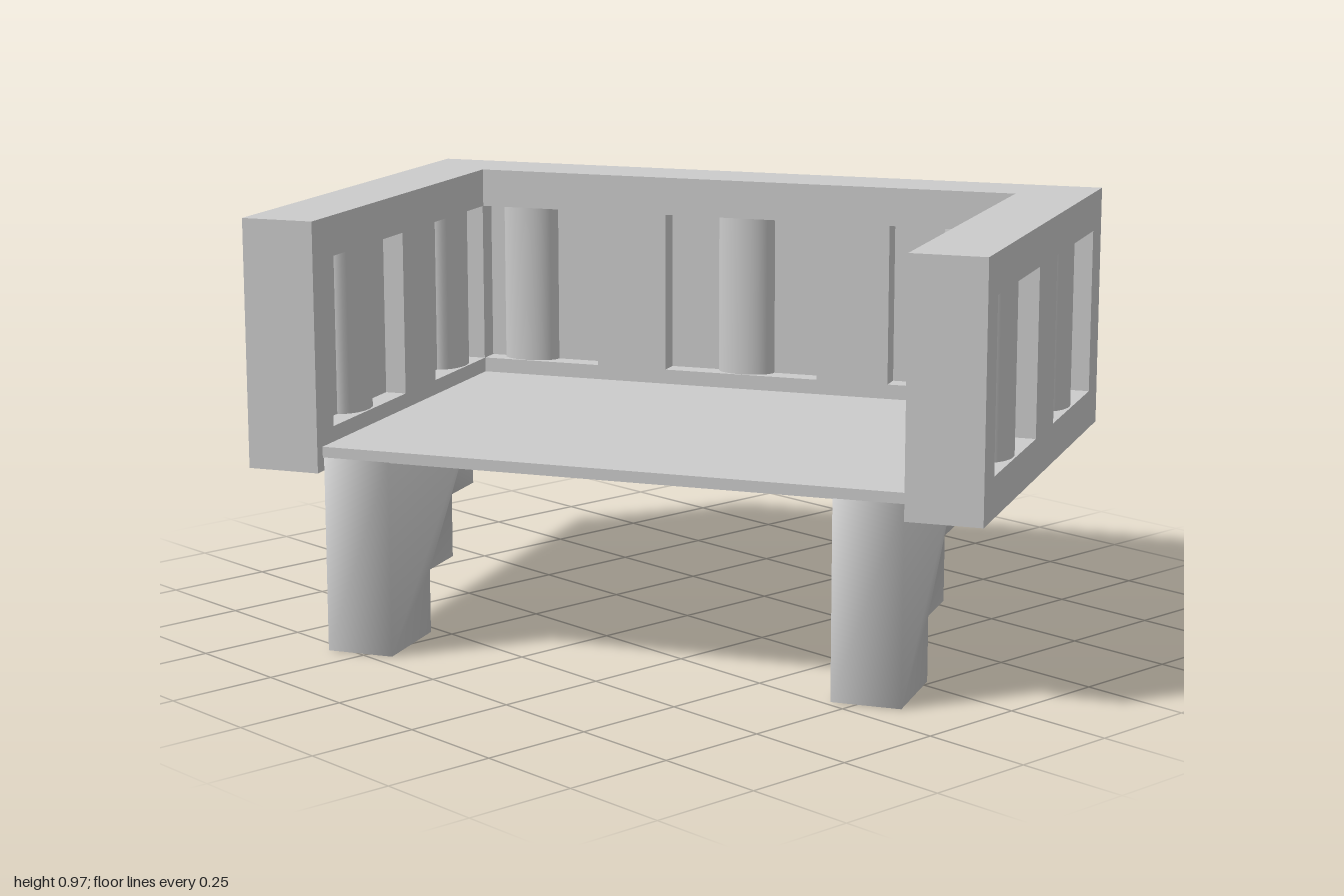
import * as THREE from 'three';
import { mergeVertices } from 'three/addons/utils/BufferGeometryUtils.js';

const BOTTOM = 0.41, TOP = 0.97;         // parapet heights
const SILL = 0.5, HEAD = 0.88;           // niche heights
const HX = 0.836, HZ = 0.556;            // half width, half depth
const WALL = 0.168, RECESS = 0.05;       // wall thickness, niche depth
const NICHE = 0.384;                     // niche width
const FRONT_NICHES = [-0.56, 0, 0.56];
const SIDE_NICHES = [-0.28, 0.276];

const mat = new THREE.MeshStandardMaterial({ color: 0xcccccc, side: THREE.DoubleSide });

function mesh(name, geometry, parent) {
  const m = new THREE.Mesh(geometry, mat);
  m.name = name;
  parent.add(m);
  return m;
}

function box(name, x0, x1, y0, y1, z0, z1, parent) {
  const m = mesh(name, new THREE.BoxGeometry(x1 - x0, y1 - y0, z1 - z0), parent);
  m.position.set((x0 + x1) / 2, (y0 + y1) / 2, (z0 + z1) / 2);
}

function rect(path, x0, x1, y0, y1) {
  path.moveTo(x0, y0);
  path.lineTo(x1, y0);
  path.lineTo(x1, y1);
  path.lineTo(x0, y1);
  path.closePath();
  return path;
}

// One wall skin with niche openings (kept inside lo..hi) and a rounded
// half column in each; the columns stand against the wall core at coreZ.
function skin(name, x0, x1, niches, lo, hi, coreZ, parent) {
  const g = new THREE.Group();
  g.name = name;
  const shape = rect(new THREE.Shape(), x0, x1, BOTTOM, TOP);
  for (const c of niches) {
    const a = Math.max(c - NICHE / 2, lo), b = Math.min(c + NICHE / 2, hi);
    shape.holes.push(rect(new THREE.Path(), a, b, SILL, HEAD));
    const col = mesh('nicheColumn', new THREE.CylinderGeometry(1, 1, HEAD - SILL, 32, 1, true), g);
    col.scale.set(0.07, 1, 0.045);
    col.position.set(c, (SILL + HEAD) / 2, coreZ);
  }
  mesh('nichedFace', new THREE.ExtrudeGeometry(shape, { depth: RECESS, bevelEnabled: false }), g);
  parent.add(g);
  return g;
}

// Stepped support bracket with softly shaded edges
function bracketGeometry(width) {
  const s = new THREE.Shape();
  const back = -0.535, step = 0.147;
  s.moveTo(back, 0);
  [-0.324, -0.194, -0.069].forEach((z, i) => {
    s.lineTo(z, i * step);
    s.lineTo(z, (i + 1) * step);
  });
  s.lineTo(back, 3 * step);
  s.closePath();
  let geo = new THREE.ExtrudeGeometry(s, { depth: width, bevelEnabled: false });
  geo.deleteAttribute('normal');
  geo.deleteAttribute('uv');
  geo = mergeVertices(geo, 1e-4);
  geo.rotateY(-Math.PI / 2);
  geo.translate(width / 2, 0, 0);
  geo.computeVertexNormals();
  return geo;
}

export function createModel() {
  const root = new THREE.Group();
  root.name = 'balcony';
  const b = new THREE.Group();
  b.name = 'balconyBody';
  b.rotation.y = 2.059;
  root.add(b);

  const inX = HX - WALL, inZ = HZ - WALL;             // inner faces
  const outCoreX = HX - RECESS, outCoreZ = HZ - RECESS;
  const inCoreX = inX + RECESS, inCoreZ = inZ + RECESS;

  // Front wall: core, outer skin, inner skin
  box('frontWallCore', -outCoreX, outCoreX, BOTTOM, TOP, inCoreZ, outCoreZ, b);
  skin('frontWallOutside', -HX, HX, FRONT_NICHES, -HX, HX, 0, b).position.z = outCoreZ;
  skin('frontWallInside', -inCoreX, inCoreX, FRONT_NICHES, -inX, inX, RECESS, b).position.z = inZ;

  // Side walls
  for (const s of [1, -1]) {
    const label = s > 0 ? 'left' : 'right';
    box(label + 'WallCore', Math.min(s * inCoreX, s * outCoreX), Math.max(s * inCoreX, s * outCoreX),
      BOTTOM, TOP, -HZ, inCoreZ, b);
    const outer = skin(label + 'WallOutside', -HZ, outCoreZ, SIDE_NICHES, -HZ, HZ, s > 0 ? RECESS : 0, b);
    outer.rotation.y = -Math.PI / 2;
    outer.position.x = s > 0 ? HX : -outCoreX;
    const inner = skin(label + 'WallInside', -HZ, inZ, SIDE_NICHES, -HZ, inZ - 0.004, s > 0 ? 0 : RECESS, b);
    inner.rotation.y = -Math.PI / 2;
    inner.position.x = s > 0 ? inCoreX : -inX;
  }

  // Floor slab, set slightly above the wall bottoms
  box('floor', -inX, inX, 0.44, 0.465, -0.53, inZ, b);

  // Two brackets under the open edge
  for (const s of [1, -1]) {
    const m = mesh(s > 0 ? 'leftBracket' : 'rightBracket', bracketGeometry(0.155), b);
    m.position.x = s * 0.585;
  }
  return root;
}
